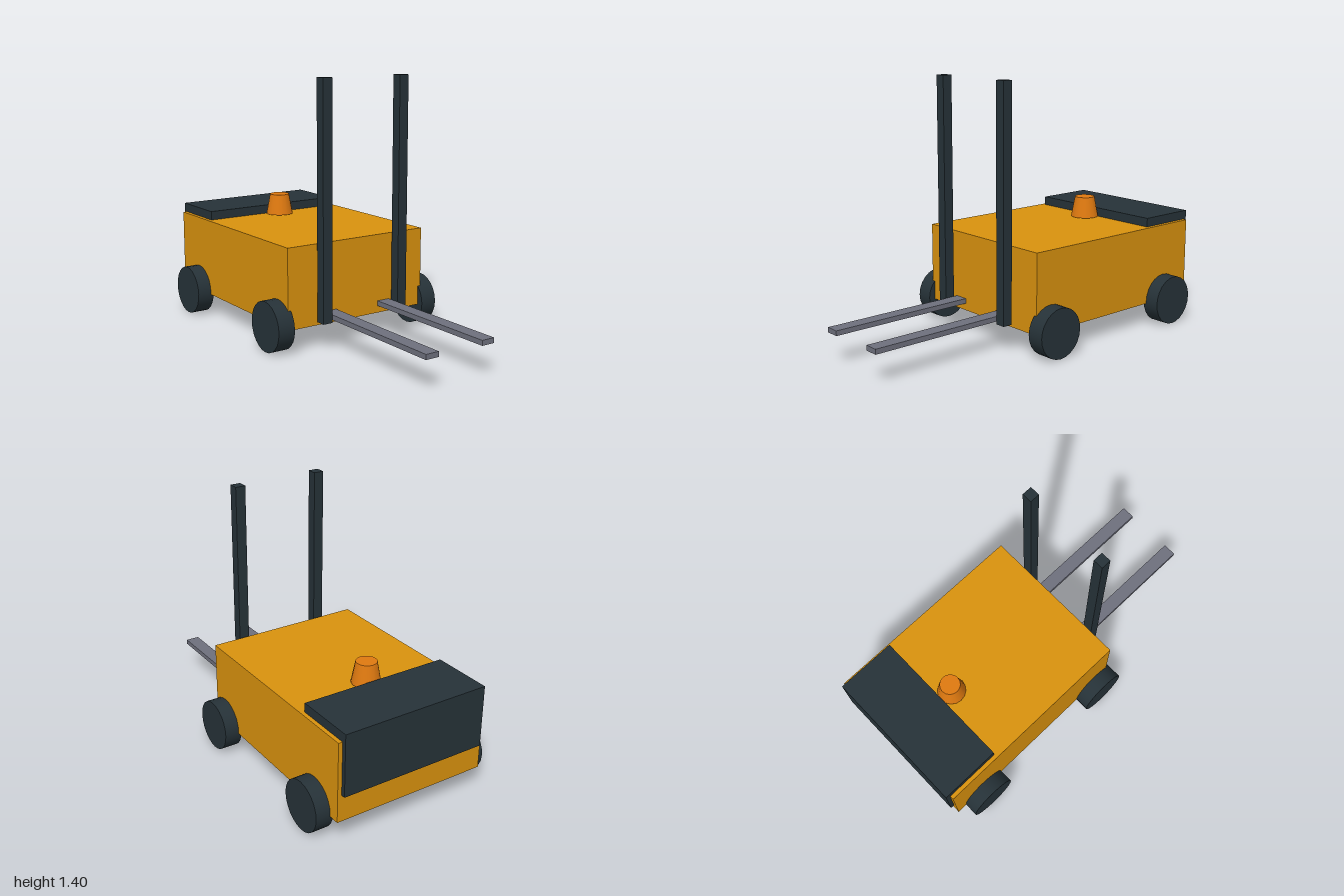
import * as THREE from 'three';

export function createModel() {
  const model = new THREE.Group();
  model.name = 'forklift';

  const mat = (name, color, flatShading = false) => {
    const m = new THREE.MeshStandardMaterial({ color, flatShading });
    m.name = name;
    return m;
  };
  const yellow = mat('body yellow', 0xd9920e);
  const dark = mat('dark slate', 0x263238);
  const steel = mat('fork steel', 0x6e707d);
  const orange = mat('beacon orange', 0xe07a10);

  const add = (name, geometry, material, x, y, z) => {
    const mesh = new THREE.Mesh(geometry, material);
    mesh.name = name;
    mesh.position.set(x, y, z);
    model.add(mesh);
    return mesh;
  };

  // box given by its minimum and maximum on each axis
  const box = (name, material, [x0, x1], [y0, y1], [z0, z1]) =>
    add(name, new THREE.BoxGeometry(x1 - x0, y1 - y0, z1 - z0), material,
      (x0 + x1) / 2, (y0 + y1) / 2, (z0 + z1) / 2);

  // chassis and rear counterweight
  box('body', yellow, [-0.432, 0.432], [0.124, 0.556], [-0.977, 0.183]);
  box('counterweight', dark, [-0.41, 0.41], [0.27, 0.605], [-1, -0.665]);

  // warning beacon
  add('beacon', new THREE.CylinderGeometry(0.055, 0.077, 0.115, 16), orange, 0, 0.622, -0.59);

  // mast rails, forks and wheels on both sides
  const wheelGeometry = new THREE.CylinderGeometry(0.135, 0.135, 0.095, 24).rotateZ(Math.PI / 2);
  for (const [side, s] of [['left', 1], ['right', -1]]) {
    const span = (a, b) => (s > 0 ? [a, b] : [-b, -a]);
    box(`${side}MastRail`, dark, span(0.212, 0.268), [0.148, 1.4], [0.205, 0.26]);
    box(`${side}Fork`, steel, span(0.135, 0.211), [0.163, 0.19], [0.18, 1]);
    add(`${side}FrontWheel`, wheelGeometry, dark, s * 0.463, 0.135, 0.086);
    add(`${side}RearWheel`, wheelGeometry, dark, s * 0.463, 0.135, -0.785);
  }

  return model;
}
